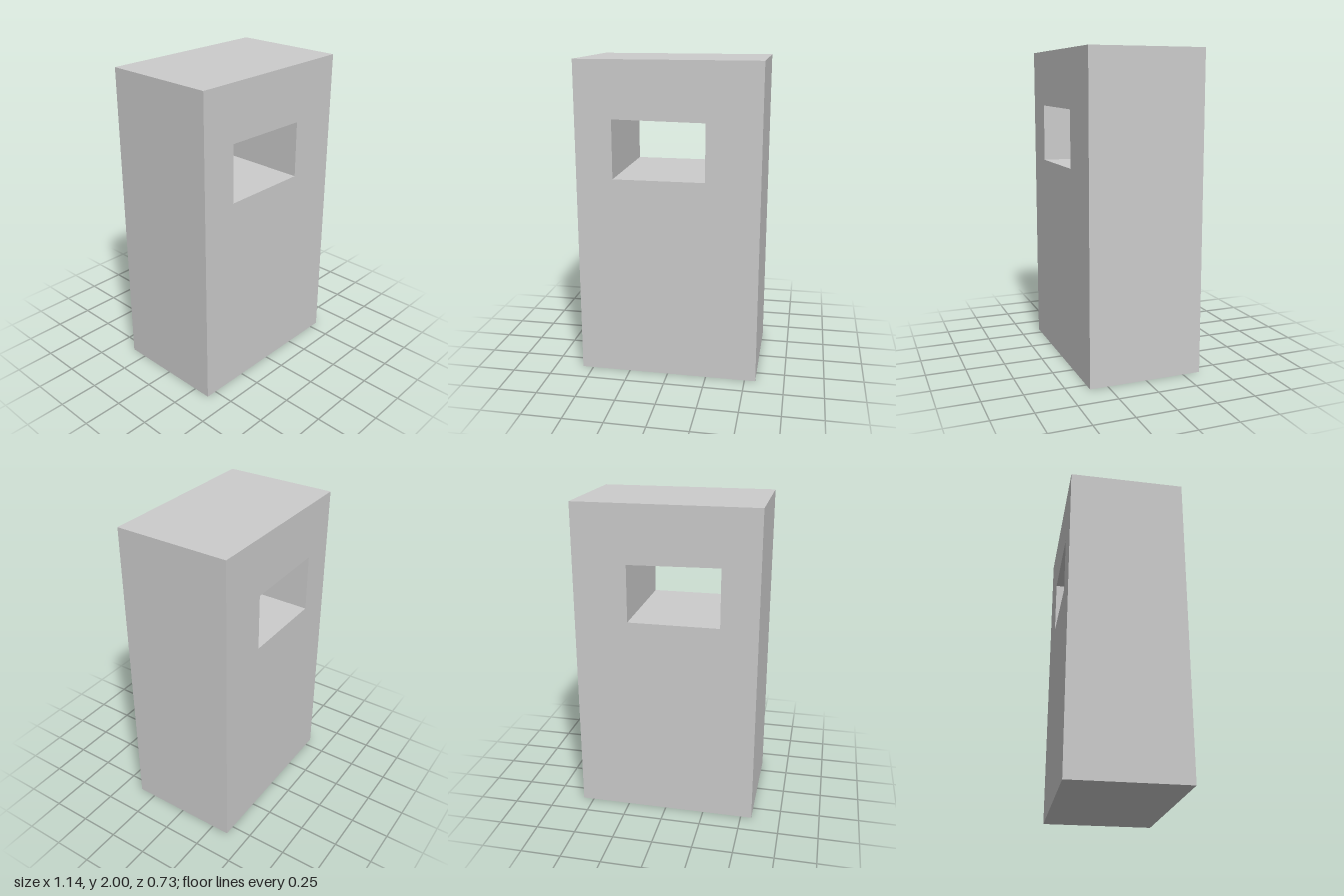
import * as THREE from 'three';

export function createModel() {
  const group = new THREE.Group();
  const w = 0.569, depth = 0.728;

  // Upright slab outline
  const outline = new THREE.Shape([
    [-w, 0], [w, 0], [w, 2], [-w, 2],
  ].map(([x, y]) => new THREE.Vector2(x, y)));

  // Off-centre window with a slightly sloping top, cut right through
  outline.holes.push(new THREE.Path([
    [-0.338, 1.28], [-0.338, 1.647], [0.233, 1.638], [0.233, 1.28],
  ].map(([x, y]) => new THREE.Vector2(x, y))));

  const geometry = new THREE.ExtrudeGeometry(outline, { depth, bevelEnabled: false });
  geometry.translate(0, 0, -depth / 2);

  const block = new THREE.Mesh(
    geometry,
    new THREE.MeshStandardMaterial({ color: 0xcccccc, flatShading: true }),
  );
  block.name = 'blockWithWindow';
  group.add(block);
  return group;
}
